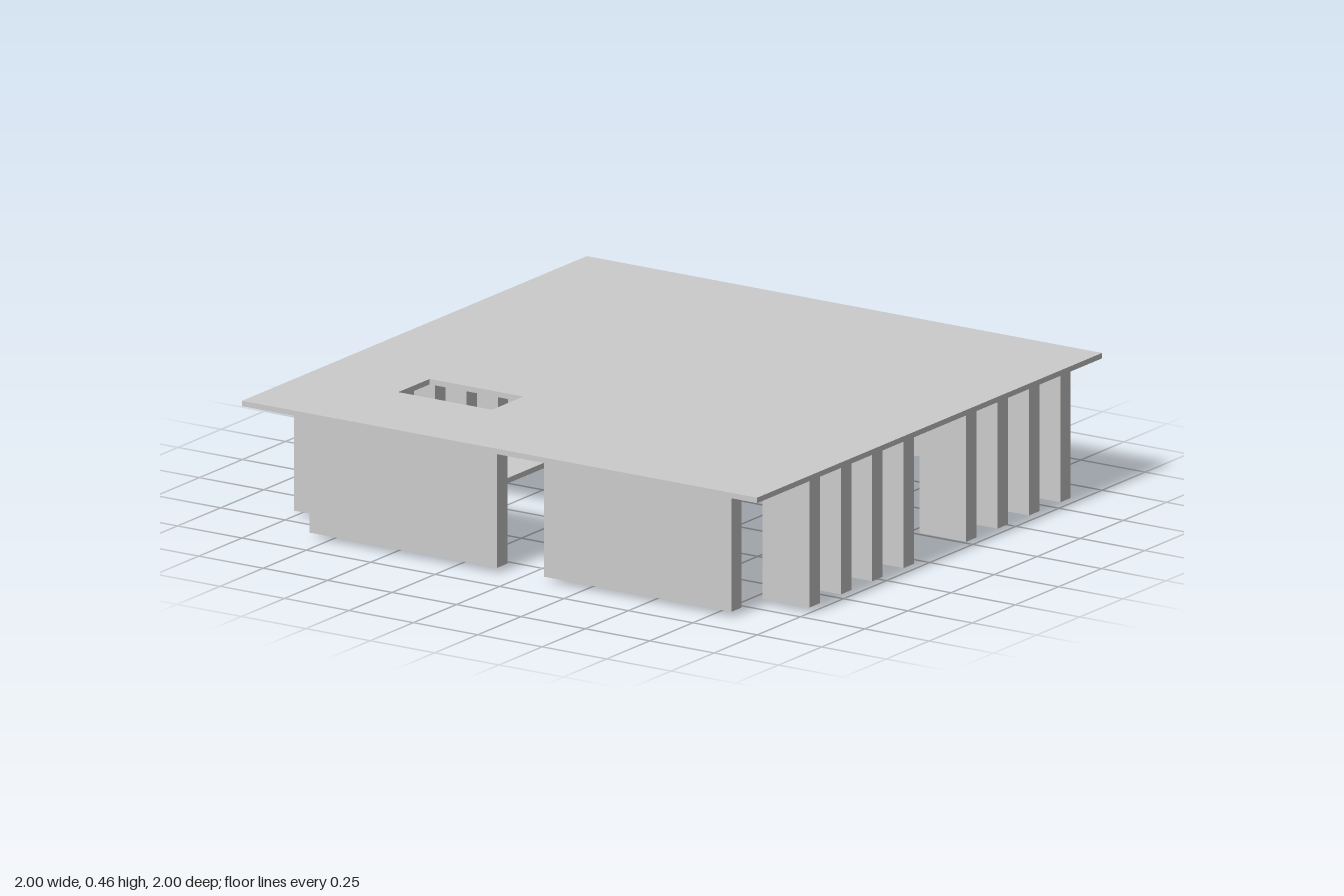
import * as THREE from 'three';

// Plan is an 11 x 11 grid of square cells
const CELL = 2 / 11;
const THICK = CELL / 3;
const SLAB = CELL / 10;
const WALL_TOP = 0.443;
const edge = (i) => -1 + i * CELL; // lower edge of cell i

export function createModel() {
  const group = new THREE.Group();
  const material = new THREE.MeshStandardMaterial({ color: 0xcccccc, flatShading: true });

  // Box given by its min and max corners
  function addBox(name, x0, x1, y0, y1, z0, z1) {
    const mesh = new THREE.Mesh(new THREE.BoxGeometry(x1 - x0, y1 - y0, z1 - z0), material);
    mesh.position.set((x0 + x1) / 2, (y0 + y1) / 2, (z0 + z1) / 2);
    mesh.name = name;
    group.add(mesh);
  }

  // Wall along x from cell a up to cell b, at the back of row i
  const addWall = (name, a, b, i) =>
    addBox(name, edge(a), edge(b), SLAB, WALL_TOP, edge(i), edge(i) + THICK);

  // Floor tile covering whole cells
  const addTile = (a, b, i, k) =>
    addBox('floorTile', edge(a), edge(b), 0, SLAB, edge(i), edge(k));

  // Roof slab with a two-cell opening
  const outline = new THREE.Shape([
    new THREE.Vector2(-1, -1), new THREE.Vector2(1, -1),
    new THREE.Vector2(1, 1), new THREE.Vector2(-1, 1),
  ]);
  const [hx0, hx1, hz0, hz1] = [edge(2), edge(4), edge(8), edge(9)];
  outline.holes.push(new THREE.Path([
    new THREE.Vector2(hx0, -hz0), new THREE.Vector2(hx1, -hz0),
    new THREE.Vector2(hx1, -hz1), new THREE.Vector2(hx0, -hz1),
  ]));
  const roof = new THREE.Mesh(
    new THREE.ExtrudeGeometry(outline, { depth: SLAB, bevelEnabled: false }), material);
  roof.rotation.x = -Math.PI / 2;
  roof.position.y = WALL_TOP;
  roof.name = 'roof';
  group.add(roof);

  // Back wall, and front walls either side of the doorway
  addWall('backWall', 1, 10, 0);
  addWall('frontWallRight', 1, 5, 10);
  addWall('frontWallLeft', 6, 10, 10);

  // Side fins; the middle one on the left is turned to face outward
  for (let i = 1; i <= 9; i++) {
    addWall('rightFin', 0, 1, i);
    if (i !== 5) addWall('leftFin', 10, 11, i);
  }
  addBox('leftPanel', edge(10), edge(10) + THICK, SLAB, WALL_TOP, edge(5), edge(6));

  // Floor tiles
  addTile(5, 7, 1, 2);
  addTile(1, 2, 4, 6);
  addTile(2, 3, 8, 9);

  return group;
}
